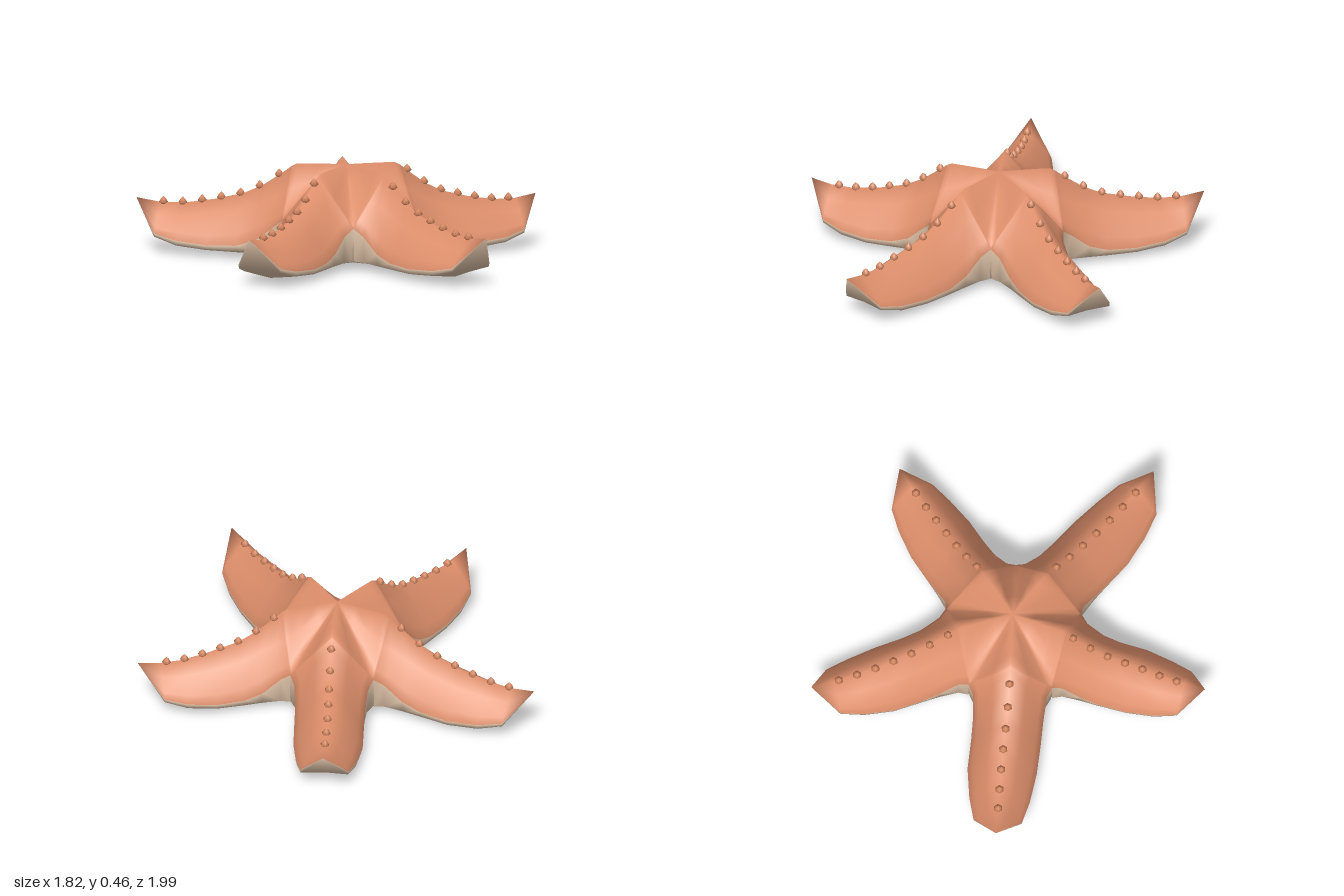
import * as THREE from 'three';
import { mergeVertices } from 'three/addons/utils/BufferGeometryUtils.js';

const CENTER = { x: -0.08, z: -0.02 };

// Each arm: heading in degrees, sideways bend in degrees, length
const ARMS = [
  [0, 0, 0.99], [72, 1.6, 1.06], [144, -2, 0.98], [216, 2, 1.055], [288, -1.5, 1.02],
];

// Cross-sections: r, half width, then heights of
// ridge, upper flank, shoulder, top rim | lower rim, wall foot, belly, keel
const SECTIONS = [
  [0.00, 0.000, 0.465, 0.465, 0.465, 0.465, 0.005, 0.005, 0.005, 0.005],
  [0.10, 0.0727, 0.463, 0.415, 0.390, 0.383, 0.014, 0.014, 0.012, 0.005],
  [0.20, 0.1453, 0.460, 0.372, 0.320, 0.300, 0.030, 0.029, 0.022, 0.005],
  [0.25, 0.1816, 0.458, 0.355, 0.272, 0.246, 0.040, 0.038, 0.028, 0.005],
  [0.271, 0.1969, 0.447, 0.342, 0.252, 0.222, 0.050, 0.047, 0.032, 0.005],
  [0.279, 0.2027, 0.442, 0.339, 0.246, 0.210, 0.210, 0.050, 0.033, 0.005],
  [0.32, 0.178, 0.410, 0.317, 0.217, 0.175, 0.175, 0.045, 0.032, 0.006],
  [0.41, 0.170, 0.345, 0.272, 0.162, 0.100, 0.100, 0.042, 0.030, 0.007],
  [0.50, 0.169, 0.300, 0.235, 0.122, 0.070, 0.070, 0.040, 0.029, 0.009],
  [0.64, 0.168, 0.262, 0.205, 0.108, 0.064, 0.064, 0.040, 0.031, 0.012],
  [0.78, 0.147, 0.237, 0.187, 0.110, 0.074, 0.074, 0.050, 0.044, 0.030],
  [0.89, 0.118, 0.235, 0.182, 0.125, 0.100, 0.100, 0.083, 0.085, 0.090],
  [1.00, 0.000, 0.252, 0.252, 0.252, 0.252, 0.252, 0.252, 0.252, 0.252],
];

const { lerp } = THREE.MathUtils;

// Columns from rim to middle: fraction of the half width, height in a section.
// A narrow column beside the keel keeps its crease crisp.
const BACK = [[1, s => s[5]], [0.85, s => s[4]], [0.45, s => s[3]], [0, s => s[2]]];
const BELLY = [
  [1, s => s[6]], [0.97, s => s[7]], [0.7, s => s[8]],
  [0.07, s => lerp(s[9], s[8], 0.1)], [0, s => s[9]],
];

// Arm-local (distance, sideways, height) to model space; bend and stretch start past the disc
function place([heading, bend, length], r, side, y) {
  const t = Math.max(0, (r - 0.3) / 0.7);
  const a = THREE.MathUtils.degToRad(heading + bend * Math.min(1, t * 2));
  const d = r + (length - 1) * t;
  return new THREE.Vector3(
    CENTER.x + d * Math.cos(a) - side * Math.sin(a), y,
    CENTER.z + d * Math.sin(a) + side * Math.cos(a));
}

// Skin of one arm: a grid of mirrored columns, facing up or down
function addSkin(out, arm, columns, up) {
  const full = [...columns.map(([f, h]) => [-f, h]), ...columns.slice(0, -1).reverse()];
  const rows = SECTIONS.map(s => full.map(([f, h]) => place(arm, s[0], f * s[1], h(s))));
  const tri = (a, b, c) => {
    const area = b.clone().sub(a).cross(c.clone().sub(a)).length();
    if (area < 1e-8) return;
    for (const p of up ? [a, b, c] : [a, c, b]) out.push(p.x, p.y, p.z);
  };
  for (let i = 0; i < rows.length - 1; i++) {
    for (let j = 0; j < full.length - 1; j++) {
      const a = rows[i][j], b = rows[i + 1][j], c = rows[i][j + 1], d = rows[i + 1][j + 1];
      // diagonals mirrored about the ridge
      if (j < (full.length - 1) / 2) { tri(a, c, b); tri(c, d, b); }
      else { tri(a, d, b); tri(a, c, d); }
    }
  }
}

function ridgeHeight(r) {
  const i = SECTIONS.findIndex(s => s[0] >= r);
  const a = SECTIONS[i - 1], b = SECTIONS[i];
  return lerp(a[2], b[2], (r - a[0]) / (b[0] - a[0]));
}

export function createModel() {
  const group = new THREE.Group();
  group.name = 'starfish';
  const orange = new THREE.MeshStandardMaterial({ name: 'coral orange', color: 0xde8f6b });
  const cream = new THREE.MeshStandardMaterial({ name: 'belly cream', color: 0xd9bea4 });
  const bumpColor = new THREE.MeshStandardMaterial({ name: 'bump coral', color: 0xd4865f });

  // Body: orange back and cream underside, welded for smooth shading
  const points = [];
  for (const arm of ARMS) addSkin(points, arm, BACK, true);
  const backCount = points.length / 3;
  for (const arm of ARMS) addSkin(points, arm, BELLY, false);
  let body = new THREE.BufferGeometry();
  body.setAttribute('position', new THREE.Float32BufferAttribute(points, 3));
  body = mergeVertices(body, 1e-4);
  body.computeVertexNormals();
  body.addGroup(0, backCount, 0);
  body.addGroup(backCount, points.length / 3 - backCount, 1);
  const bodyMesh = new THREE.Mesh(body, [orange, cream]);
  bodyMesh.name = 'body';
  group.add(bodyMesh);

  // Bumps: a row of small pointed studs along each ridge
  const stud = new THREE.LatheGeometry([
    new THREE.Vector2(0.012, -0.014), new THREE.Vector2(0.022, -0.003),
    new THREE.Vector2(0.013, 0.012), new THREE.Vector2(0, 0.026),
  ], 6);
  ARMS.forEach((arm, k) => {
    const row = new THREE.Group();
    row.name = `bumpRow${k + 1}`;
    for (let i = 0; i < 7; i++) {
      const r = 0.315 + (arm[2] - 0.99) * 0.3 + i * 0.09;
      const bump = new THREE.Mesh(stud, bumpColor);
      bump.name = 'bump';
      bump.position.copy(place(arm, r, 0, ridgeHeight(r) + 0.004));
      row.add(bump);
    }
    group.add(row);
  });
  return group;
}
